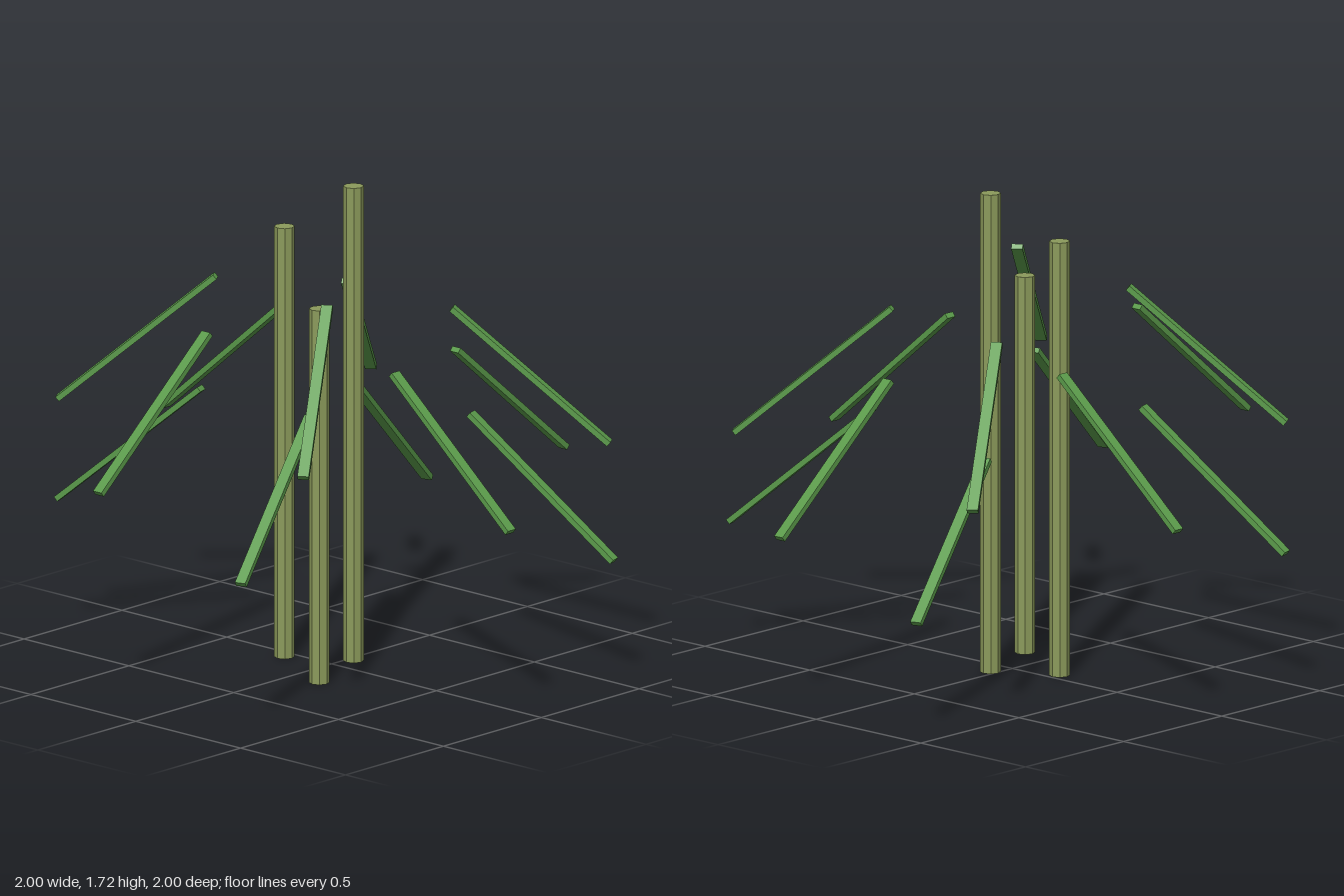
import * as THREE from 'three';

const stemMat = new THREE.MeshStandardMaterial({ color: 0x8b9a5b, flatShading: true });
const leafMat = new THREE.MeshStandardMaterial({ color: 0x5a9a4a, flatShading: true });

// x, z, height of each upright cane
const STEMS = [
  [0.025, -0.085, 1.72],
  [-0.185, 0.043, 1.56],
  [0.128, 0.2, 1.355],
];

// centre x, y, z and heading in degrees (from +x towards +z) of each drooping leaf
const LEAVES = [
  [0.715, 0.935, 0.149, 0], [-0.185, 1.02, 0.715, 90],
  [-0.715, 0.935, -0.215, 180], [0.18, 0.85, -0.717, 270],
  [0.655, 0.69, -0.375, -17.2], [0.346, 0.795, 0.657, 72.8],
  [-0.672, 0.735, 0.312, 162.8], [-0.335, 0.635, -0.67, 252.8],
  [0.542, 1.06, -0.437, -34.4], [0.428, 1.18, 0.542, 55.6],
  [-0.57, 1.155, 0.385, 145.6], [-0.4, 1.037, -0.568, 235.6],
];

export function createModel() {
  const group = new THREE.Group();

  // Canes
  STEMS.forEach(([x, z, h], i) => {
    const stem = new THREE.Mesh(new THREE.CylinderGeometry(0.036, 0.036, h, 8), stemMat);
    stem.name = `stem${i + 1}`;
    stem.position.set(x, h / 2, z);
    group.add(stem);
  });

  // Leaves: flat strips sloping down and outwards
  const leafGeo = new THREE.BoxGeometry(0.725, 0.02, 0.04);
  LEAVES.forEach(([x, y, z, heading], i) => {
    const leaf = new THREE.Mesh(leafGeo, leafMat);
    leaf.name = `leaf${i + 1}`;
    leaf.position.set(x, y, z);
    leaf.rotation.set(0, THREE.MathUtils.degToRad(-heading), THREE.MathUtils.degToRad(-40), 'YXZ');
    group.add(leaf);
  });

  return group;
}
